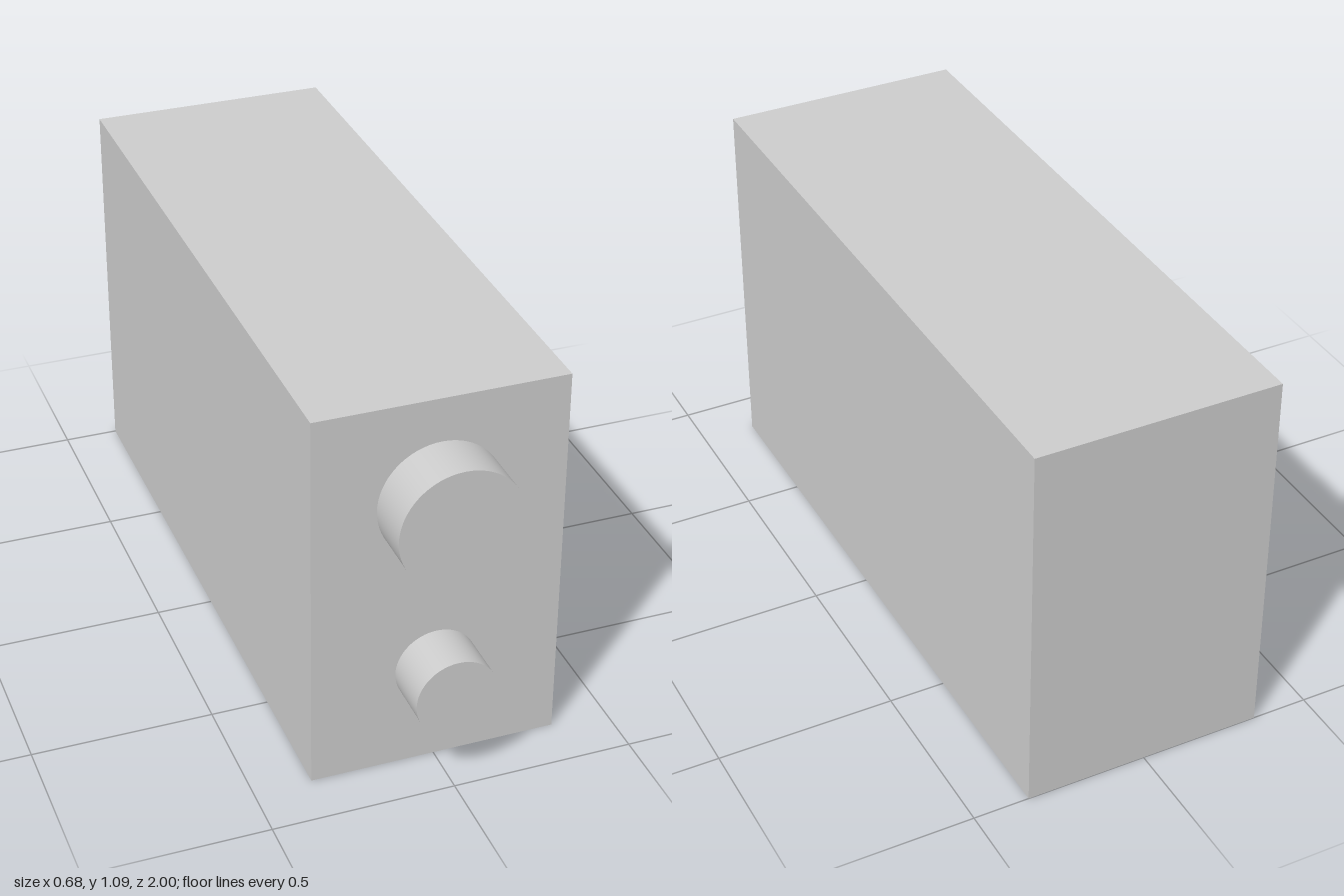
import * as THREE from 'three';

const WIDTH = 0.684, HEIGHT = 1.088;
const BACK = -1, FACE = 0.853, TIP = 1;

export function createModel() {
  const model = new THREE.Group();
  const material = new THREE.MeshStandardMaterial({ color: 0xcccccc });

  // Main housing
  const housing = new THREE.Mesh(new THREE.BoxGeometry(WIDTH, HEIGHT, FACE - BACK), material);
  housing.name = 'housing';
  housing.position.set(0, HEIGHT / 2, (FACE + BACK) / 2);
  model.add(housing);

  // Round knob standing out from the front face
  function addKnob(name, radius, y) {
    const geometry = new THREE.CylinderGeometry(radius, radius, TIP - FACE, 64);
    geometry.rotateX(Math.PI / 2);
    const knob = new THREE.Mesh(geometry, material);
    knob.name = name;
    knob.position.set(0, y, (FACE + TIP) / 2);
    model.add(knob);
  }
  addKnob('upperKnob', 0.169, 0.796);
  addKnob('lowerKnob', 0.112, 0.284);

  return model;
}
